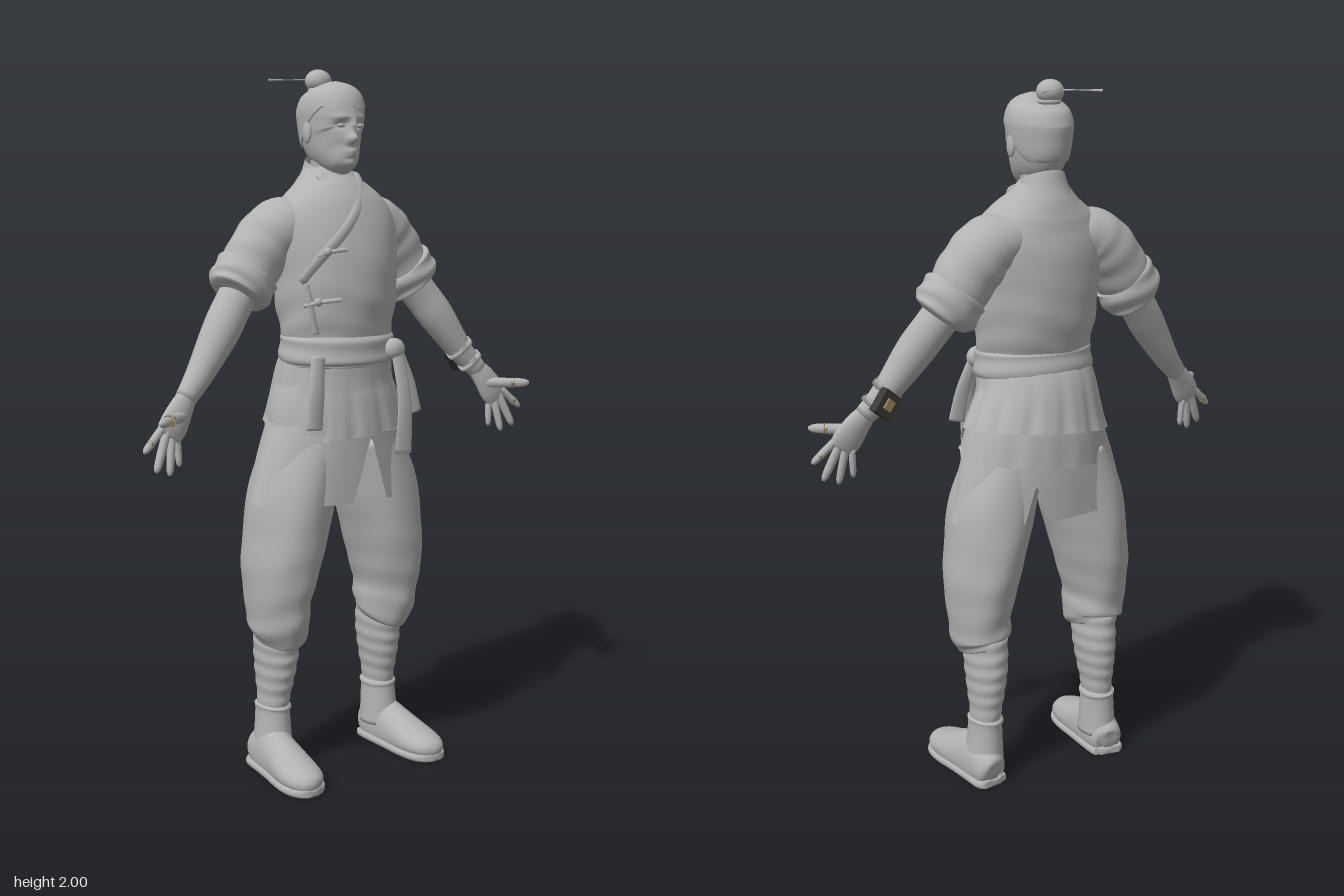
import * as THREE from 'three';

const grey = new THREE.MeshStandardMaterial({ name: 'clay grey', color: 0xb2b2b2, side: THREE.DoubleSide });
const dark = new THREE.MeshStandardMaterial({ name: 'dark leather', color: 0x3c3a36 });
const gold = new THREE.MeshStandardMaterial({ name: 'dull gold', color: 0xa08a5c });

const gauss = (d, w) => Math.exp(-(d * d) / (w * w));
const clamp = THREE.MathUtils.clamp;

// Smooth skin over rows of [x, y, z, half width, half depth]; the rule may move each vertex.
function loft(name, rows, { mat = grey, seg = 24, steps = 24, open = false, ref = [0, 0, 1], rule } = {}) {
  const path = new THREE.CatmullRomCurve3(rows.map(r => new THREE.Vector3(r[0], r[1], r[2])), false, 'catmullrom');
  const size = new THREE.CatmullRomCurve3(rows.map(r => new THREE.Vector3(r[3], r[4] ?? r[3], 0)), false, 'catmullrom');
  const pos = [], idx = [];
  const add = (p, a, t, c) => { if (rule) rule(p, a, t, c); pos.push(p.x, p.y, p.z); };
  for (let i = 0; i <= steps; i++) {
    const t = i / steps, c = path.getPoint(t), s = size.getPoint(t), T = path.getTangent(t);
    const B = new THREE.Vector3(...ref);
    B.addScaledVector(T, -B.dot(T)).normalize();
    const A = new THREE.Vector3().crossVectors(T, B);
    for (let j = 0; j < seg; j++) {
      const a = j / seg * Math.PI * 2;
      add(c.clone().addScaledVector(A, s.x * Math.cos(a)).addScaledVector(B, s.y * Math.sin(a)), a, t, c);
    }
  }
  for (let i = 0; i < steps; i++) for (let j = 0; j < seg; j++) {
    const k = (j + 1) % seg, a = i * seg + j, b = i * seg + k;
    idx.push(a, a + seg, b, b, a + seg, b + seg);
  }
  if (!open) {
    const n = pos.length / 3, top = steps * seg;
    add(path.getPoint(0), 0, 0, path.getPoint(0));
    add(path.getPoint(1), 0, 1, path.getPoint(1));
    for (let j = 0; j < seg; j++) {
      const k = (j + 1) % seg;
      idx.push(n, j, k, n + 1, top + k, top + j);
    }
  }
  const g = new THREE.BufferGeometry();
  g.setAttribute('position', new THREE.Float32BufferAttribute(pos, 3));
  g.setIndex(idx);
  g.computeVertexNormals();
  const m = new THREE.Mesh(g, mat);
  m.name = name;
  return m;
}

function blob(name, x, y, z, sx, sy, sz, mat = grey) {
  const m = new THREE.Mesh(new THREE.SphereGeometry(1, 20, 14), mat);
  m.position.set(x, y, z); m.scale.set(sx, sy, sz); m.name = name;
  return m;
}

// Cloth folds: swell or shrink each ring around its centre.
const folds = f => (p, a, t, c) => { p.sub(c).multiplyScalar(1 + f(a, t)).add(c); };

const torsoRows = [[0, 1.18, 0, .163, .125], [0, 1.26, 0, .166, .127], [0, 1.35, -.005, .18, .145],
  [0, 1.45, -.01, .19, .147], [0, 1.54, -.02, .2, .137], [0, 1.6, -.028, .19, .123],
  [0, 1.65, -.038, .15, .105], [0, 1.69, -.045, .1, .085], [0, 1.73, -.048, .065, .06]];

// Front depth of the jacket at a given x and y.
function chestZ(x, y) {
  let i = 0;
  while (i < torsoRows.length - 2 && torsoRows[i + 1][1] < y) i++;
  const a = torsoRows[i], b = torsoRows[i + 1], f = clamp((y - a[1]) / (b[1] - a[1]), 0, 1);
  const [, , z, rx, rz] = a.map((v, k) => v + (b[k] - v) * f);
  return z + rz * Math.sqrt(Math.max(0, 1 - (x / rx) ** 2));
}
const onChest = (points, w, d, lift = .003) => points.map(([x, y]) => [x, y, chestZ(x, y) + lift, w, d]);

function head() {
  const g = new THREE.Group(); g.name = 'head';
  const rows = [[0, 1.722, .045, .018, .02], [0, 1.737, .034, .042, .045], [0, 1.77, .008, .064, .075],
    [0, 1.81, -.018, .076, .101], [0, 1.85, -.025, .082, .104], [0, 1.89, -.028, .084, .103],
    [0, 1.925, -.034, .071, .086], [0, 1.944, -.038, .042, .052], [0, 1.95, -.04, .008, .01]];
  // Face relief: x, y, width, height, depth
  const relief = [[0, 1.808, .014, .014, .022], [0, 1.835, .009, .03, .014], [.032, 1.845, .018, .01, -.012],
    [.035, 1.866, .025, .009, .006], [0, 1.775, .022, .006, .008], [0, 1.764, .018, .005, .006],
    [0, 1.787, .02, .005, -.003], [0, 1.74, .02, .01, .007], [.045, 1.79, .02, .025, -.005]];
  g.add(loft('face', rows, { seg: 64, steps: 72, rule: p => {
    if (p.z < .0) return;
    let dz = 0;
    for (const [x, y, w, h, d] of relief) dz += d * gauss(Math.abs(p.x) - x, w) * gauss(p.y - y, h);
    p.z += dz;
  } }));
  // Swept-back hair ends at a hairline that falls from the forehead to the nape
  const hair = rows.slice(2).map(([x, y, z, a, b]) => [x, y + .003, z - .003, a + .005, b + .005]);
  g.add(loft('hair', hair, { seg: 64, steps: 40, rule: p => {
    const line = p.z > .03 ? 1.893 : p.z > -.02 ? 1.85 + (p.z + .02) * .86 : 1.785 + Math.max(0, p.z + .08) * 1.08;
    p.y = Math.max(p.y, line);
  } }));
  g.add(blob('hairBun', 0, 1.968, -.09, .038, .032, .036));
  const tie = new THREE.Mesh(new THREE.TorusGeometry(.026, .007, 8, 24), grey);
  tie.rotation.x = Math.PI / 2; tie.position.set(0, 1.942, -.085); tie.name = 'bunTie';
  g.add(tie);
  for (const e of [-.1, .08]) g.add(loft('hairPin', [[e * .1, 1.972, -.1, .004], [e, 1.972, -.19, .004]], { seg: 8, steps: 1 }));
  for (const s of [-1, 1]) {
    g.add(blob('ear', s * .083, 1.825, -.025, .009, .03, .018));
    g.add(blob('eye', s * .032, 1.843, .064, .013, .006, .007));
  }
  g.add(loft('neck', [[0, 1.6, -.045, .06], [0, 1.68, -.04, .053], [0, 1.79, -.03, .055]]));
  return g;
}

function jacket() {
  const g = new THREE.Group(); g.name = 'jacket';
  g.add(loft('torso', torsoRows, { seg: 64, steps: 48, rule: folds((a, t) =>
    .014 * gauss(t - .15, .2) * Math.sin(t * 50 + 2 * Math.sin(a * 2)) + .006 * Math.sin(a * 7 + t * 12) * (1 - t)) }));
  g.add(loft('collar', [[0, 1.68, -.046, .09, .08], [0, 1.72, -.048, .07, .066], [0, 1.745, -.047, .062, .06]],
    { open: true, seg: 40, steps: 10, rule: p => { p.y -= (p.z + .06) * .35; } }));
  g.add(loft('crossLapel', onChest([[.066, 1.71], [.045, 1.67], [0, 1.61], [-.06, 1.55], [-.12, 1.49], [-.163, 1.42]], .017, .008), { seg: 10 }));
  g.add(loft('underLapel', onChest([[-.062, 1.71], [-.045, 1.67], [-.012, 1.625]], .015, .006), { seg: 10 }));
  g.add(loft('sideEdge', onChest([[-.155, 1.42], [-.145, 1.35], [-.13, 1.28]], .01, .006), { seg: 8 }));
  for (const [x, y] of [[-.1, 1.505], [-.125, 1.37]]) {
    g.add(loft('toggle', onChest([[x - .035, y - .012], [x, y], [x + .045, y + .006]], .006, .008, .008), { seg: 8, steps: 8 }));
    g.add(blob('toggleKnot', x - .01, y, chestZ(x - .01, y) + .012, .012, .012, .01));
  }
  return g;
}

function skirts() {
  const g = new THREE.Group(); g.name = 'skirts';
  const pleats = (n, amp) => folds((a, t) => amp * t * (Math.sin(n * a) + .5 * Math.sin(n * 1.0 * a * 2 + 1)));
  // Three layers, each drawn from waist to hem
  g.add(loft('upperPeplum', [[0, 1.21, 0, .168, .13], [0, 1.14, -.015, .185, .148], [.01, 1.04, -.024, .22, .164]],
    { open: true, seg: 120, rule: (p, a, t, c) => { pleats(13, .02)(p, a, t, c); if (p.z > 0) p.y -= t * .035; } }));
  g.add(loft('lowerPeplum', [[0, 1.16, -.01, .172, .135], [0, 1.06, -.02, .205, .152], [.01, .95, -.022, .226, .156]],
    { open: true, seg: 120, rule: (p, a, t, c) => { pleats(9, .012)(p, a, t, c); if (p.z > 0) p.y = Math.max(p.y, .995); } }));
  const notch = (p, x, top, k) => { p.y = Math.max(p.y, top - Math.abs(p.x - x) * k); };
  g.add(loft('longSkirt', [[0, 1.1, -.015, .18, .14], [0, .95, -.02, .235, .147], [-.003, .8, -.02, .277, .148]],
    { open: true, seg: 160, steps: 30, rule: (p, a, t, c) => {
      pleats(6, .008)(p, a, t, c);
      if (p.z > .05) notch(p, .03, .99, 3.1);
      if (p.z < -.08) notch(p, .08, .92, 3.5);
    } }));
  // Sash, knot and hanging ends
  g.add(loft('sash', [[0, 1.185, 0, .165, .13], [0, 1.2, 0, .175, .138], [0, 1.255, 0, .172, .135], [0, 1.28, 0, .16, .122]],
    { seg: 64, steps: 30, rule: folds((a, t) => .014 * Math.sin(t * 19 + 1.5 * Math.sin(a))) }));
  g.add(blob('sashKnot', .115, 1.225, .115, .035, .032, .026));
  g.add(loft('sashTail', [[.12, 1.22, .125, .02, .01], [.13, 1.08, .148, .024, .007], [.125, .93, .15, .03, .006]], { seg: 12 }));
  g.add(loft('sashTail', [[.125, 1.22, .12, .018, .01], [.16, 1.13, .125, .022, .007], [.18, 1.04, .128, .026, .006]], { seg: 12 }));
  g.add(loft('hangingFold', [[-.135, 1.22, .1, .022, .012], [-.15, 1.12, .115, .026, .01], [-.158, 1.02, .117, .026, .008]], { seg: 12 }));
  return g;
}

function arm(s) {
  const g = new THREE.Group(); g.name = s > 0 ? 'leftArm' : 'rightArm';
  const side = rows => rows.map(([x, ...r]) => [s * x, ...r]);
  g.add(loft('sleeve', side([[.09, 1.585, -.04, .065, .085], [.16, 1.565, -.045, .085, .09], [.22, 1.51, -.05, .088, .084], [.285, 1.415, -.045, .082, .074]]),
    { seg: 40, steps: 32, rule: folds((a, t) => .03 * t * Math.sin(t * 26 + 2 * Math.sin(a))) }));
  g.add(loft('rolledCuff', side([[.258, 1.458, -.047, .072, .066], [.268, 1.445, -.047, .094, .084], [.288, 1.415, -.045, .092, .084], [.304, 1.393, -.042, .09, .08], [.312, 1.382, -.04, .055, .055]]),
    { seg: 40, steps: 24, rule: folds((a, t) => .04 * Math.sin(t * 16 + 1.2 * Math.sin(a * 2))) }));
  g.add(loft('forearm', side([[.27, 1.43, -.045, .055], [.33, 1.355, -.03, .054, .05], [.378, 1.29, -.014, .053, .048], [.455, 1.185, .005, .038, .036], [.51, 1.125, .022, .03, .024]])));
  g.add(loft('palm', side([[.5, 1.135, .02, .028, .022], [.528, 1.1, .03, .037, .022], [.555, 1.06, .037, .043, .018], [.572, 1.035, .04, .038, .012]])));
  const fingers = [[.528, 1.085, .04, .635, 1.085, .115, .015], [.594, 1.056, .042, .652, 1.002, .055, .011], [.58, 1.04, .042, .62, .948, .06, .012],
    [.562, 1.027, .04, .578, .934, .055, .011], [.543, 1.022, .036, .54, .952, .04, .0095]];
  fingers.forEach(([x, y, z, X, Y, Z, r], i) => {
    const at = (f, k) => [x + (X - x) * f, y + (Y - y) * f, z + (Z - z) * f, r * k];
    g.add(loft(i ? 'finger' : 'thumb', side([at(-.15, 1), at(.4, 1), at(.85, .85), at(1, .35)]), { seg: 10, steps: 10 }));
    if (i < 2) g.add(loft('ring', side([at(.55, 1.15), at(.65, 1.12)]), { mat: gold, seg: 12, steps: 1 }));
  });
  return g;
}

function leg(s) {
  const g = new THREE.Group(); g.name = s > 0 ? 'leftLeg' : 'rightLeg';
  const side = rows => rows.map(([x, ...r]) => [s * x, ...r]);
  g.add(loft('trouserLeg', side([[.1, .97, -.02, .1, .125], [.145, .82, -.02, .12, .137], [.17, .7, -.02, .11, .14], [.187, .6, -.02, .1, .132],
    [.193, .51, -.022, .085, .115], [.188, .44, -.026, .082, .104], [.184, .405, -.036, .064, .086]]),
    { seg: 48, steps: 60, rule: folds((a, t) => .03 * t * t * Math.sin(t * 34 + 2 * Math.sin(a + s)) + .012 * Math.sin(a * 5 + t * 8)) }));
  g.add(loft('shinWrap', side([[.183, .44, -.04, .06, .08], [.184, .36, -.046, .058, .082], [.187, .28, -.05, .05, .072], [.19, .2, -.053, .042, .056], [.192, .1, -.053, .042, .055]]),
    { seg: 36, steps: 60, rule: folds((a, t) => .022 * Math.sin(t * 46 + s * Math.cos(a))) }));
  g.add(loft('bootCollar', side([[.195, .06, -.05, .055, .068], [.193, .12, -.052, .05, .062], [.192, .175, -.054, .047, .059], [.191, .19, -.054, .05, .062], [.191, .2, -.054, .038, .05]])));
  const shoe = [[.198, .045, -.12, .022, .03], [.2, .048, -.105, .046, .055], [.203, .05, -.04, .052, .085], [.208, .045, .03, .056, .07],
    [.214, .038, .1, .062, .05], [.218, .034, .155, .056, .036], [.22, .028, .187, .036, .026], [.22, .025, .2, .01, .01]];
  g.add(loft('shoe', side(shoe), { seg: 32, ref: [0, 1, 0], rule: p => { p.y = Math.max(p.y, .004); } }));
  const sole = shoe.map(([x, , z, w]) => [x, .01, z, w + .005, .03]);
  g.add(loft('sole', side(sole), { seg: 32, ref: [0, 1, 0], rule: p => { p.y = clamp(p.y, 0, .02); } }));
  return g;
}

export function createModel() {
  const model = new THREE.Group();
  model.name = 'robedMan';
  model.add(head(), jacket(), skirts());
  for (const s of [-1, 1]) model.add(arm(s), leg(s));
  // Wrist guard: two bands and a dark box on the back of the left wrist
  const guard = new THREE.Group(); guard.name = 'wristGuard';
  guard.add(loft('wristBand', [[.445, 1.2, .002, .044, .042], [.456, 1.186, .006, .044, .042]], { seg: 24, steps: 2 }));
  guard.add(loft('wristBand', [[.478, 1.16, .012, .04, .036], [.489, 1.147, .015, .04, .036]], { seg: 24, steps: 2 }));
  const box = new THREE.Mesh(new THREE.BoxGeometry(.07, .06, .028), dark);
  box.name = 'guardBox';
  box.position.set(.472, 1.165, -.036); box.rotation.set(0, .2, -.9);
  const stud = new THREE.Mesh(new THREE.BoxGeometry(.03, .025, .008), gold);
  stud.name = 'guardPlate'; stud.position.z = -.016;
  box.add(stud);
  guard.add(box);
  model.add(guard);
  return model;
}
